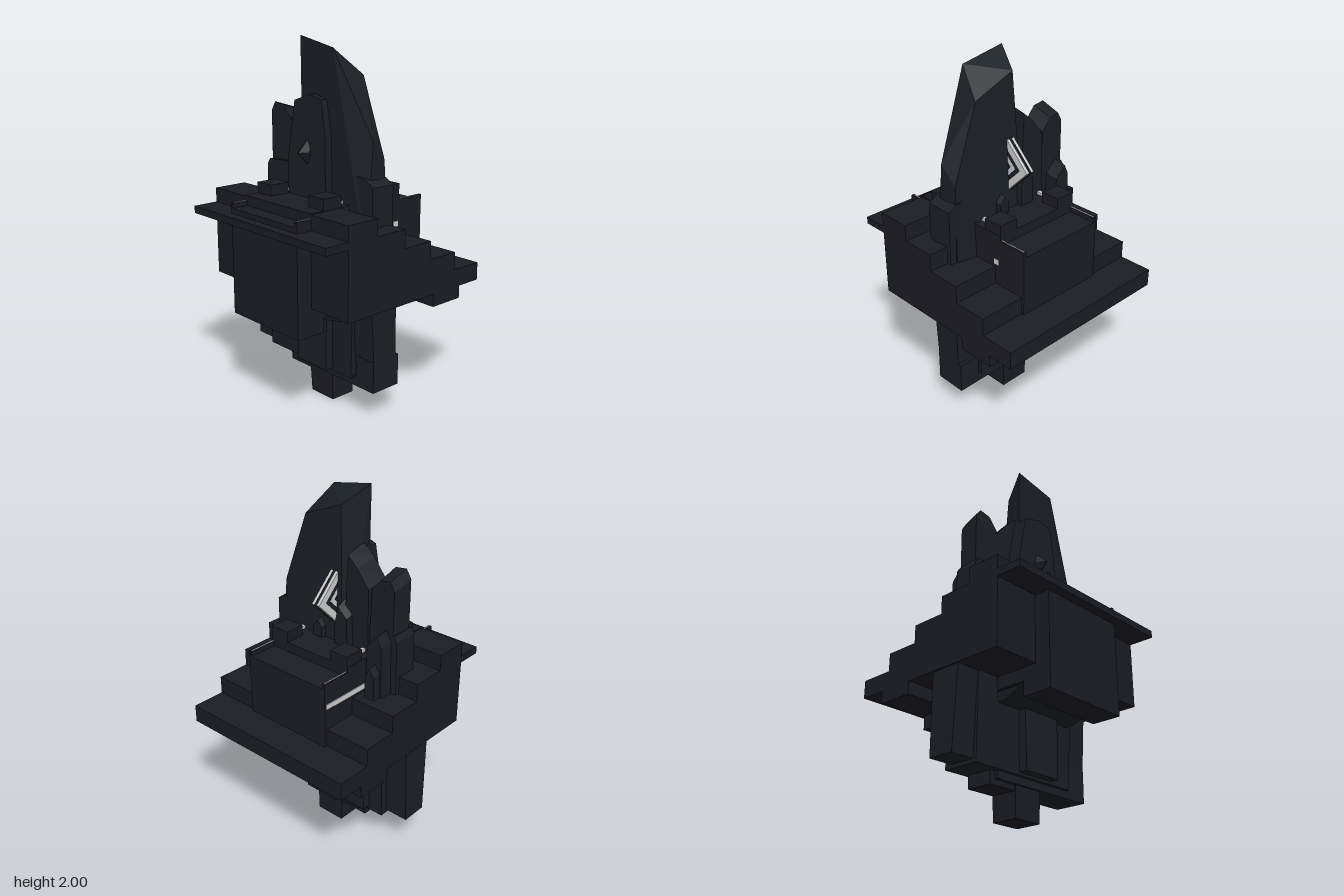
import * as THREE from 'three';
import { ConvexGeometry } from 'three/addons/geometries/ConvexGeometry.js';

const stone = new THREE.MeshStandardMaterial({ color: 0x1b1b24, flatShading: true });
const rock = new THREE.MeshStandardMaterial({ color: 0x1a1f25, flatShading: true });
const pale = new THREE.MeshStandardMaterial({ color: 0xcccccc, flatShading: true });

export function createModel() {
  const model = new THREE.Group();

  const add = (name, geometry, material) => {
    const mesh = new THREE.Mesh(geometry, material);
    mesh.name = name;
    model.add(mesh);
  };

  // Box given by its limits on each axis
  const box = (name, x0, x1, y0, y1, z0, z1, material = stone) => {
    const g = new THREE.BoxGeometry(x1 - x0, y1 - y0, z1 - z0);
    g.translate((x0 + x1) / 2, (y0 + y1) / 2, (z0 + z1) / 2);
    add(name, g, material);
  };

  // Faceted solid around a few corner points
  const hull = (name, points, material = rock) =>
    add(name, new ConvexGeometry(points.map((p) => new THREE.Vector3(...p))), material);

  // Faceted rock: front outline, and a back outline drawn in towards its base
  const crystal = (name, outline, zFront, zBack, inset = 0.9) => {
    const xs = outline.map((p) => p[0]);
    const cx = (Math.min(...xs) + Math.max(...xs)) / 2;
    const base = Math.min(...outline.map((p) => p[1]));
    hull(name, outline.flatMap(([x, y]) => [
      [x, y, zFront],
      [cx + (x - cx) * inset, base + (y - base) * (0.5 + inset / 2), zBack],
    ]));
  };

  // Block with different top and bottom rectangles
  const taper = (name, top, bottom, y0, y1, material = rock) =>
    hull(name, [[top, y1], [bottom, y0]].flatMap(([[x0, x1, z0, z1], y]) =>
      [[x0, y, z0], [x0, y, z1], [x1, y, z0], [x1, y, z1]]), material);

  // Wide stair that climbs from the back to the front
  const stair = new THREE.Shape([[-0.415, 0.67], [-0.415, 1.16], [-0.22, 1.16], [-0.22, 1.07],
    [-0.025, 1.07], [-0.025, 0.97], [0.17, 0.97], [0.17, 0.87], [0.365, 0.87], [0.365, 0.77],
    [0.56, 0.77], [0.56, 0.67]].map(([z, y]) => new THREE.Vector2(z, y)));
  const stairGeo = new THREE.ExtrudeGeometry(stair, { depth: 1.08, bevelEnabled: false });
  stairGeo.translate(0, 0, -0.54);
  stairGeo.rotateY(Math.PI / 2);
  add('stair', stairGeo, stone);
  box('frontLedge', -0.54, 0.54, 1.04, 1.08, 0.41, 0.56);
  box('underPlank', -0.54, 0.54, 0.6, 0.67, -0.41, -0.2);

  // Central altar with deep front and back piers
  box('altarCore', -0.27, 0.27, 0.6, 1.165, -0.21, 0.415);
  for (const [z0, z1] of [[0.335, 0.505], [-0.38, -0.2]]) {
    box('altarPier', -0.27, 0.27, 0.52, 1.11, z0, z1);
    for (const s of [-1, 1]) {
      box('pierRim', s * 0.262 - 0.009, s * 0.262 + 0.009, 1.11, 1.138, z0, z1);
      box('rimLight', s * 0.26 - 0.003, s * 0.26 + 0.003, 1.13, 1.14, z0 + 0.01, z1 - 0.01, pale);
    }
  }

  // Corner blocks joined by pale strips
  for (const s of [-1, 1]) {
    for (const [z0, z1] of [[0.21, 0.33], [-0.21, -0.095]])
      box('cornerBlock', s * 0.21 - 0.058, s * 0.21 + 0.058, 1.1, 1.225, z0, z1);
    box('paleStrip', s * 0.21 - 0.011, s * 0.21 + 0.011, 1.15, 1.18, -0.1, 0.215, pale);
    box('sideStrip', s * 0.27 - 0.004, s * 0.27 + 0.004, 0.99, 1.02, s < 0 ? -0.37 : -0.2, s < 0 ? -0.07 : -0.165, pale);
  }

  // Main peak, its cut top sloping back to a ridge and a lower shoulder
  hull('mainPeak', [
    [-0.1, 2, 0.16], [0.16, 1.95, 0.17], [-0.03, 1.91, 0.01], [0.22, 1.81, 0.015],
    [0.38, 1.5, 0.1], [0.37, 1.4, 0.01], [0.39, 0.9, 0.15], [0.39, 0.9, -0.01],
    [-0.1, 0.9, 0.15], [-0.08, 0.9, -0.035], [0.25, 0.9, -0.035],
  ]);

  // Upper rocks
  crystal('frontSlab', [[-0.16, 1.0], [-0.155, 1.38], [-0.1, 1.67], [0.02, 1.71], [0.11, 1.69], [0.14, 1.5], [0.14, 1.0]], 0.205, 0.1, 0.98);
  crystal('leftPeak', [[-0.4, 0.9], [-0.4, 1.58], [-0.37, 1.63], [-0.3, 1.62], [-0.24, 1.55], [-0.22, 0.9]], 0.12, 0, 0.9);
  crystal('middlePeak', [[-0.25, 0.9], [-0.24, 1.54], [-0.16, 1.64], [-0.09, 1.7], [-0.05, 0.9]], 0.12, -0.01, 0.92);
  crystal('rightLowRock', [[0.14, 0.9], [0.16, 1.36], [0.38, 1.31], [0.43, 1.28], [0.43, 0.95]], 0.15, 0, 0.97);
  crystal('leftLowRock', [[-0.425, 0.95], [-0.42, 1.28], [-0.4, 1.31], [-0.22, 1.32], [-0.2, 0.95]], 0.14, 0, 0.97);
  crystal('backRock', [[-0.14, 0.95], [-0.13, 1.36], [-0.06, 1.42], [-0.03, 1.3], [-0.03, 0.95]], 0.03, -0.05, 0.85);
  crystal('backRock', [[0.05, 0.95], [0.05, 1.24], [0.08, 1.28], [0.12, 1.24], [0.12, 0.95]], 0.02, -0.05, 0.9);
  crystal('backSpire', [[-0.39, 0.9], [-0.38, 1.27], [-0.35, 1.33], [-0.28, 1.26], [-0.27, 0.9]], 0.02, -0.075, 0.92);
  crystal('smallSpire', [[-0.38, 0.85], [-0.37, 1.11], [-0.34, 1.16], [-0.31, 1.11], [-0.3, 0.85]], -0.06, -0.12, 0.92);

  // Upright diamond pushed through the rocks, its back half ringed in pale bands
  const diamond = (r, P = THREE.Shape) =>
    new P([[r, 0], [0, r], [-r, 0], [0, -r]].map(([x, y]) => new THREE.Vector2(x, y)));
  const place = (g, width) => {
    g.translate(0, 0, -width / 2);
    g.rotateY(Math.PI / 2);
    g.translate(0, 1.41, 0.055);
    return g;
  };
  const body = diamond(0.167);
  body.holes.push(diamond(0.075, THREE.Path));
  add('diamond', place(new THREE.ExtrudeGeometry(body,
    { depth: 0.008, bevelSize: 0.034, bevelThickness: 0.02, bevelSegments: 1 }), 0.008), rock);
  for (const [outer, inner] of [[0.207, 0.155], [0.122, 0.088]]) {
    const band = new THREE.Shape([[0, outer], [0, inner], [inner, 0], [0, -inner], [0, -outer], [outer, 0]]
      .map(([x, y]) => new THREE.Vector2(x, y)));
    add('diamondBand', place(new THREE.ExtrudeGeometry(band, { depth: 0.05, bevelEnabled: false }), 0.05), pale);
  }

  // Underside of the altar
  taper('skirt', [-0.27, 0.27, -0.2, 0.335], [-0.26, 0.26, -0.05, 0.2], 0.54, 0.59);

  // Hanging rocks below
  taper('hangingCore', [-0.4, 0.3, -0.07, 0.16], [-0.4, 0.28, -0.06, 0.15], 0.205, 0.68);
  taper('hangingLeft', [-0.53, -0.395, -0.03, 0.15], [-0.54, -0.4, -0.02, 0.13], 0.225, 0.68);
  taper('hangingRight', [0.29, 0.43, -0.03, 0.15], [0.29, 0.43, -0.035, 0.125], 0.3, 0.68);
  box('hangingRightFoot', 0.3, 0.43, 0.165, 0.34, -0.055, 0.13, rock);
  taper('frontPanel', [-0.11, 0.14, 0.1, 0.2], [-0.1, 0.135, 0.1, 0.2], 0.22, 0.6);
  taper('backPanel', [-0.13, 0.1, -0.14, 0], [-0.13, 0.09, -0.14, 0], 0.22, 0.62);
  taper('backPanel', [-0.32, -0.18, -0.11, 0], [-0.31, -0.18, -0.11, 0], 0.23, 0.62);
  box('basePlate', -0.23, 0.43, 0.165, 0.22, -0.055, 0.13, rock);
  box('baseBlock', -0.265, -0.06, 0.135, 0.25, -0.04, 0.11);
  taper('footPost', [-0.095, 0.095, -0.045, 0.12], [-0.085, 0.09, -0.04, 0.11], 0, 0.25, stone);

  return model;
}
